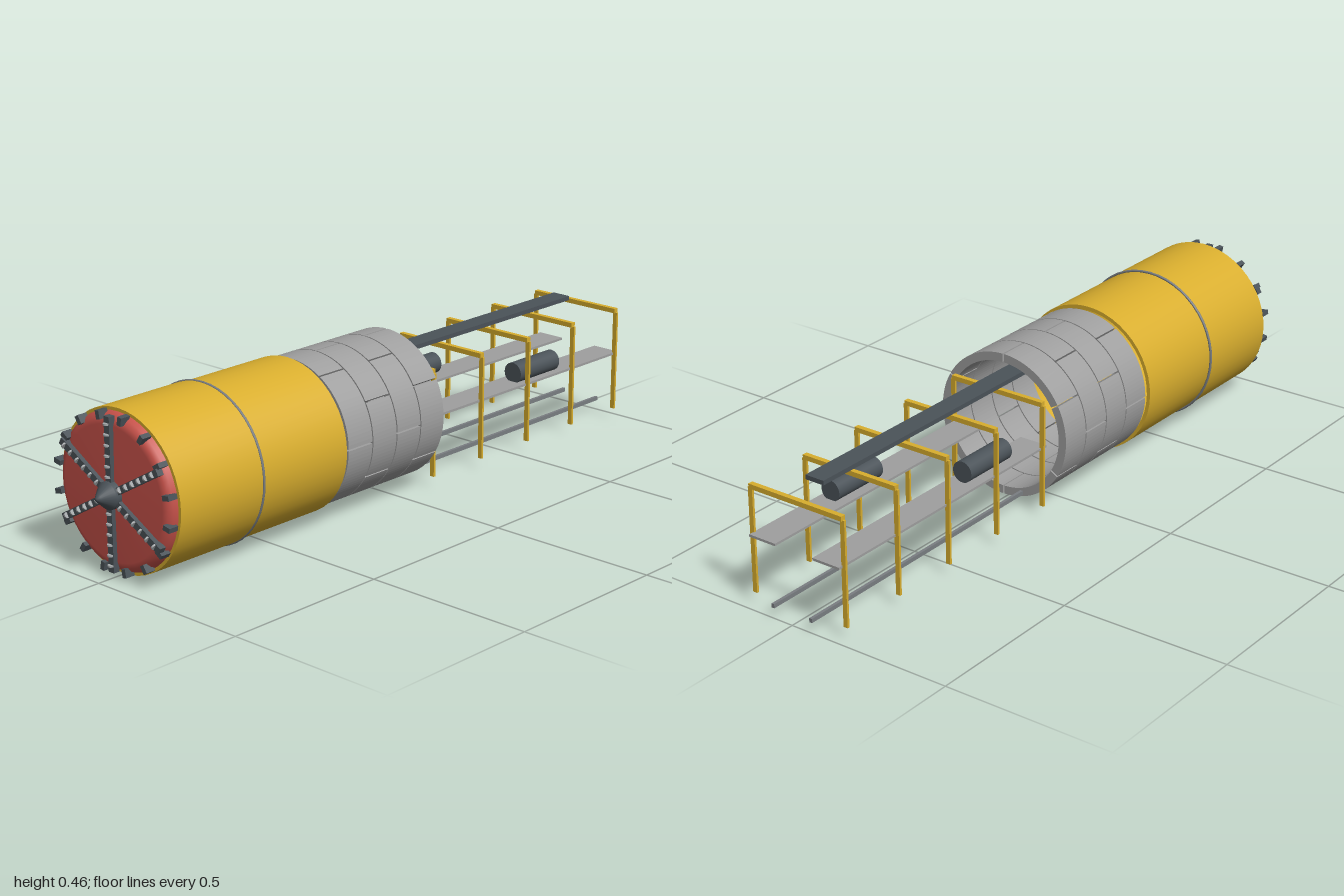
import * as THREE from 'three';

const AXIS_Y = 0.2285;
const TAU = Math.PI * 2;

function mat(name, color, side = THREE.FrontSide) {
  const m = new THREE.MeshStandardMaterial({ color, side });
  m.name = name;
  return m;
}

export function createModel() {
  const yellow = mat('machineYellow', 0xd9ae2e);
  const red = mat('cutterRed', 0xc8524a);
  const dark = mat('darkSteel', 0x4b5359);
  const steel = mat('lightSteel', 0xa4a8aa);
  const concrete = mat('concreteGrey', 0x9f9f9f);
  const rail = mat('railGrey', 0x7a7e82);

  const model = new THREE.Group();
  model.name = 'tunnelBoringMachine';

  const add = (parent, name, geo, material, x = 0, y = 0, z = 0) => {
    const mesh = new THREE.Mesh(geo, material);
    mesh.name = name;
    mesh.position.set(x, y, z);
    parent.add(mesh);
    return mesh;
  };
  const group = (name, parent, y = 0) => {
    const g = new THREE.Group();
    g.name = name;
    g.position.y = y;
    parent.add(g);
    return g;
  };
  const box = (w, h, d) => new THREE.BoxGeometry(w, h, d);
  // Revolve [radius, z] points around the machine axis, keeping hard corners
  const turned = (points, sides = 48) => {
    const parts = new THREE.LatheGeometry(points.map(p => new THREE.Vector2(p[0], p[1])), sides);
    return parts.rotateX(Math.PI / 2);
  };
  const body = group('body', model, AXIS_Y);

  // Shields: outer skin, inner skin and flat rims
  const tube = (name, r, inner, z0, z1) => {
    const g = group(name, body);
    add(g, 'outerSkin', turned([[r, z0], [r, z1]]), yellow);
    add(g, 'innerSkin', turned([[inner, z1], [inner, z0]]), yellow);
    add(g, 'frontRim', turned([[r, z1], [inner, z1]]), yellow);
    add(g, 'rearRim', turned([[inner, z0], [r, z0]]), yellow);
  };
  tube('frontShield', 0.225, 0.214, 0.622, 0.915);
  tube('rearShield', 0.222, 0.211, 0.303, 0.618);
  add(body, 'jointRing', new THREE.TorusGeometry(0.2245, 0.004, 8, 48), rail, 0, 0, 0.62);

  // Cutterhead
  const head = group('cutterhead', body);
  add(head, 'cutterDisc', turned([
    [0, 0.88], [0.213, 0.88], [0.217, 0.9], [0.216, 0.916], [0.211, 0.928],
    [0.2, 0.937], [0.185, 0.942], [0, 0.945]]), red);
  add(head, 'hubBase', turned([[0.038, 0.935], [0.038, 0.962]], 24), dark);
  add(head, 'hubCone', turned([[0.038, 0.962], [0.012, 0.992], [0.005, 0.999], [0, 1]], 24), dark);
  for (let i = 0; i < 6; i++) {
    const arm = group('spoke', head);
    arm.rotation.z = i * TAU / 6;
    add(arm, 'spokeBar', box(0.02, 0.18, 0.02), dark, 0, 0.122, 0.946);
    for (let k = 0; k < 6; k++) {
      add(arm, 'discCutter', new THREE.CylinderGeometry(0.0085, 0.0085, 0.005, 14), steel,
        0, 0.05 + k * 0.0285, 0.957);
    }
  }
  for (let i = 0; i < 16; i++) {
    const holder = group('gaugeToothHolder', head);
    holder.rotation.z = (i + 0.5) * TAU / 16;
    add(holder, 'gaugeTooth', box(0.014, 0.024, 0.03), dark, 0, 0.21, 0.935);
  }

  // Staggered concrete lining: four rings of six segments
  const lining = group('tunnelLining', body);
  const gap = 0.011;
  const arc = new THREE.Shape();
  arc.absarc(0, 0, 0.215, gap, TAU / 6 - gap, false);
  arc.absarc(0, 0, 0.19, TAU / 6 - gap, gap, true);
  arc.closePath();
  const segment = new THREE.ExtrudeGeometry(arc, { depth: 0.094, bevelEnabled: false, curveSegments: 10 });
  for (let ring = 0; ring < 4; ring++) {
    for (let i = 0; i < 6; i++) {
      const s = add(lining, 'liningSegment', segment, concrete, 0, 0, -0.099 + ring * 0.098);
      s.rotation.z = Math.PI / 2 + (i + (ring % 2) / 2) * TAU / 6;
    }
  }

  // Trailing gantry: five portal frames
  const gantry = group('trailingGantry', model);
  for (let i = 0; i < 5; i++) {
    const z = -0.125 - i * 0.21;
    const frame = group('portalFrame', gantry);
    add(frame, 'crossBeam', box(0.31, 0.014, 0.015), yellow, 0, 0.343, z);
    for (const s of [-1, 1]) {
      add(frame, 'post', box(0.014, 0.306, 0.007), yellow, s * 0.154, 0.185, z);
    }
  }

  // Walkways and track on both sides
  for (const s of [-1, 1]) {
    add(gantry, 'walkway', box(0.088, 0.007, 0.88), concrete, s * 0.107, 0.206, -0.543);
    add(gantry, 'trackRail', box(0.009, 0.012, 0.9), rail, s * 0.064, 0.036, -0.55);
  }

  // Spoil conveyor running out through the lining
  add(gantry, 'conveyorBelt', box(0.06, 0.013, 1.2), dark, 0, 0.374, -0.293);

  // Equipment drums on the walkways
  const drum = new THREE.CylinderGeometry(0.031, 0.031, 0.18, 24).rotateX(Math.PI / 2);
  add(gantry, 'leftDrum', drum, dark, 0.11, 0.236, -0.62);
  add(gantry, 'rightDrum', drum, dark, -0.112, 0.245, -0.34);

  return model;
}
